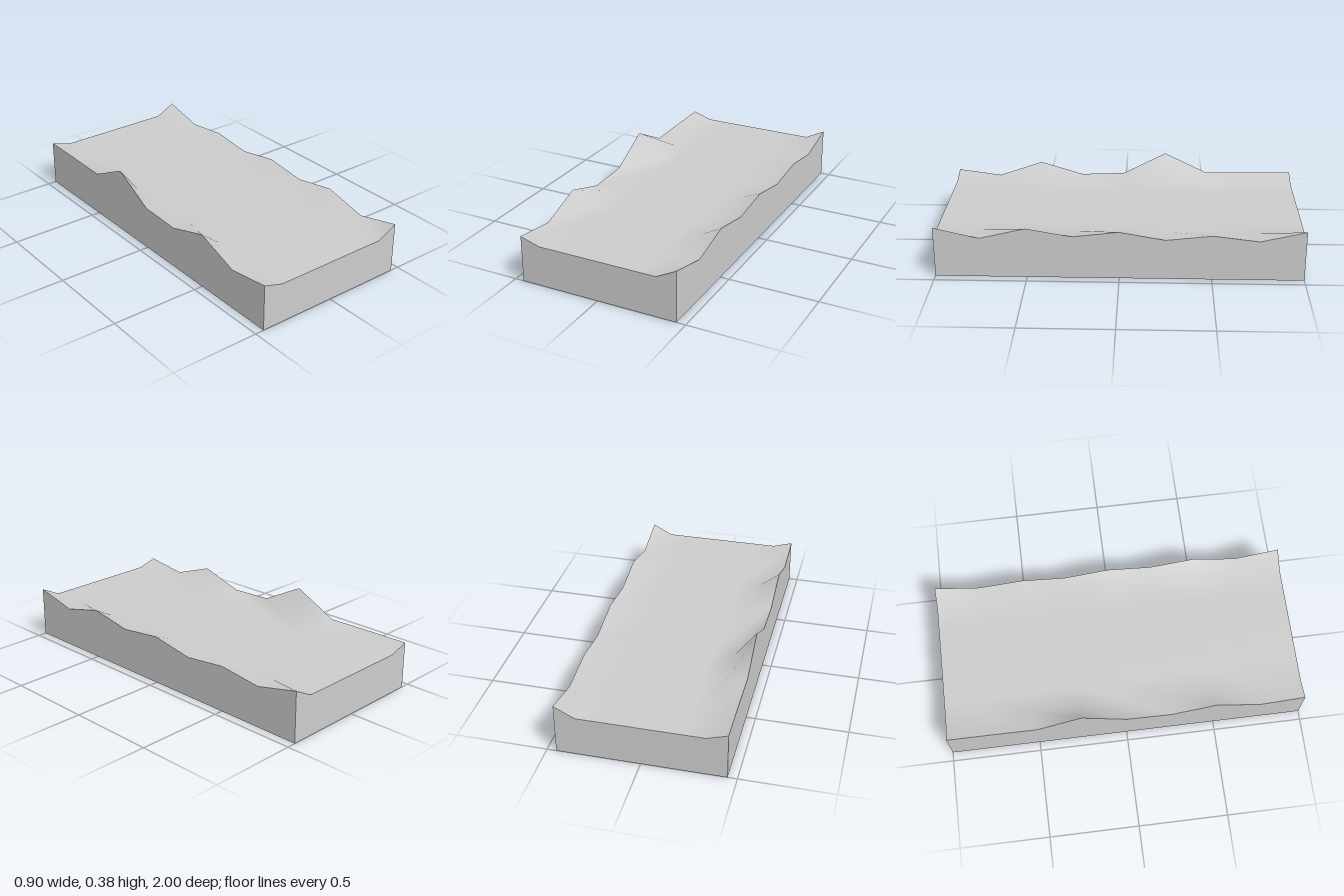
import * as THREE from 'three';

export function createModel() {
  const group = new THREE.Group();
  const width = 0.9, height = 0.228, length = 2, steps = 8;

  // Rim heights along each long side, from the back (z = -1) to the front (z = 1)
  const rightRim = [0.264, 0.262, 0.257, 0.38, 0.25, 0.24, 0.316, 0.228, 0.262];
  const leftRim = [0.286, 0.228, 0.258, 0.23, 0.274, 0.244, 0.288, 0.228, 0.286];

  // Slab with a flat bed; only the outermost rows of the top are raised
  const slab = new THREE.BoxGeometry(width, height, length, steps, 1, steps);
  slab.translate(0, height / 2, 0);
  const pos = slab.attributes.position;
  for (let i = 0; i < pos.count; i++) {
    const onRim = Math.abs(pos.getX(i)) > width / 2 - 0.001;
    if (pos.getY(i) < height / 2 || !onRim) continue;
    const row = Math.round((pos.getZ(i) / length + 0.5) * steps);
    pos.setY(i, (pos.getX(i) < 0 ? rightRim : leftRim)[row]);
  }
  // Each box side keeps its own vertices: smooth top, sharp outer edges
  slab.computeVertexNormals();

  const mesh = new THREE.Mesh(slab, new THREE.MeshStandardMaterial({ color: 0xcccccc }));
  mesh.name = 'groundSlab';
  group.add(mesh);
  return group;
}
